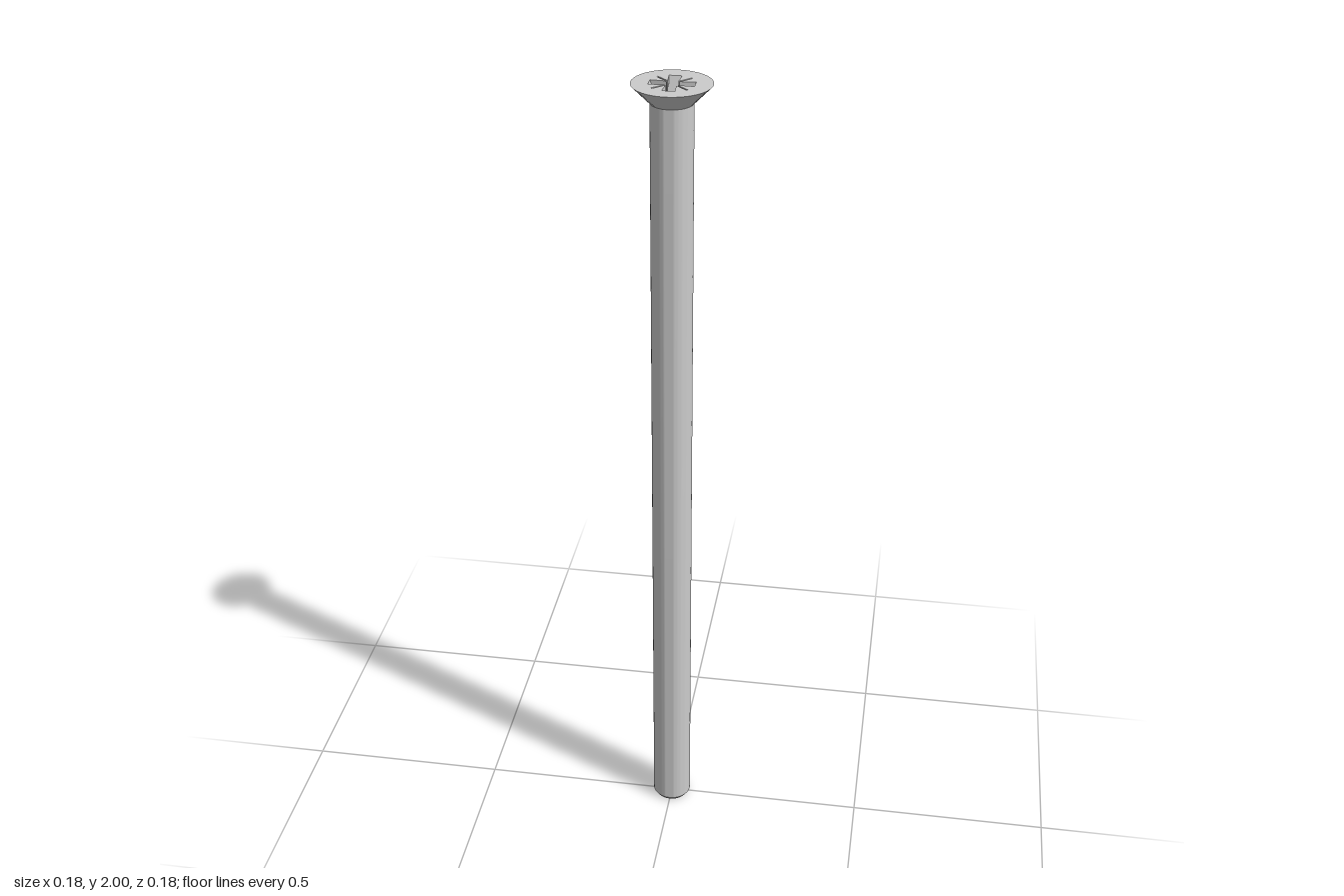
import * as THREE from 'three';
import { toCreasedNormals } from 'three/addons/utils/BufferGeometryUtils.js';

const SEGMENTS = 64;
const TOP = 2;
const FLOOR = 1.955;
const HEAD_RADIUS = 0.091;
const PILOT_RADIUS = 0.018;

// Cross with four thin diagonal slots, counter-clockwise
function recessOutline(armLength, halfWidth, slotReach, slotHalf) {
  const quadrant = [
    [armLength, -halfWidth],
    [armLength, halfWidth],
    [halfWidth, halfWidth - 2 * slotHalf],
    [slotReach + slotHalf, slotReach - slotHalf],
    [slotReach - slotHalf, slotReach + slotHalf],
    [halfWidth - 2 * slotHalf, halfWidth],
  ];
  const points = [];
  for (let i = 0; i < 4; i++) {
    for (const [x, y] of quadrant) {
      points.push(new THREE.Vector2(x, y).rotateAround(new THREE.Vector2(), i * Math.PI / 2));
    }
  }
  return points;
}

// Flat horizontal face with a hole
function flatFace(shape, hole, height) {
  shape.holes.push(hole);
  return new THREE.ShapeGeometry(shape, SEGMENTS / 2).rotateX(-Math.PI / 2).translate(0, height, 0);
}

function circle(Type, radius) {
  const path = new Type();
  path.absarc(0, 0, radius, 0, Math.PI * 2);
  return path;
}

// Inward-facing walls between two outlines
function recessWalls(upper, lower) {
  const positions = [];
  const put = (p, y) => positions.push(p.x, y, -p.y);
  upper.forEach((a, i) => {
    const j = (i + 1) % upper.length;
    put(a, TOP); put(upper[j], TOP); put(lower[j], FLOOR);
    put(a, TOP); put(lower[j], FLOOR); put(lower[i], FLOOR);
  });
  const geometry = new THREE.BufferGeometry();
  geometry.setAttribute('position', new THREE.Float32BufferAttribute(positions, 3));
  geometry.computeVertexNormals();
  return geometry;
}

function revolve(profile) {
  const points = profile.map(([r, y]) => new THREE.Vector2(r, y));
  return toCreasedNormals(new THREE.LatheGeometry(points, SEGMENTS), 0.5);
}

export function createModel() {
  const group = new THREE.Group();
  group.name = 'countersunkScrew';
  const material = new THREE.MeshStandardMaterial({ color: 0xcccccc });
  const add = (name, geometry) => {
    const mesh = new THREE.Mesh(geometry, material);
    mesh.name = name;
    group.add(mesh);
  };

  // Plain shank with a chamfered end
  add('shank', revolve([[0, 0], [0.042, 0], [0.049, 0.01], [0.049, 1.957]]));

  // Conical underside of the head
  add('headCone', revolve([[0.049, 1.957], [HEAD_RADIUS, TOP]]));

  // Driver recess, tapering towards its floor
  const upper = recessOutline(0.051, 0.0145, 0.039, 0.0014);
  const lower = recessOutline(0.035, 0.014, 0.018, 0.0013);
  add('headTop', flatFace(circle(THREE.Shape, HEAD_RADIUS), new THREE.Path(upper), TOP));
  add('recessWalls', recessWalls(upper, lower));
  add('recessFloor', flatFace(new THREE.Shape(lower), circle(THREE.Path, PILOT_RADIUS), FLOOR));
  add('recessPoint', revolve([[PILOT_RADIUS, FLOOR], [0, FLOOR - 0.012]]));

  return group;
}
